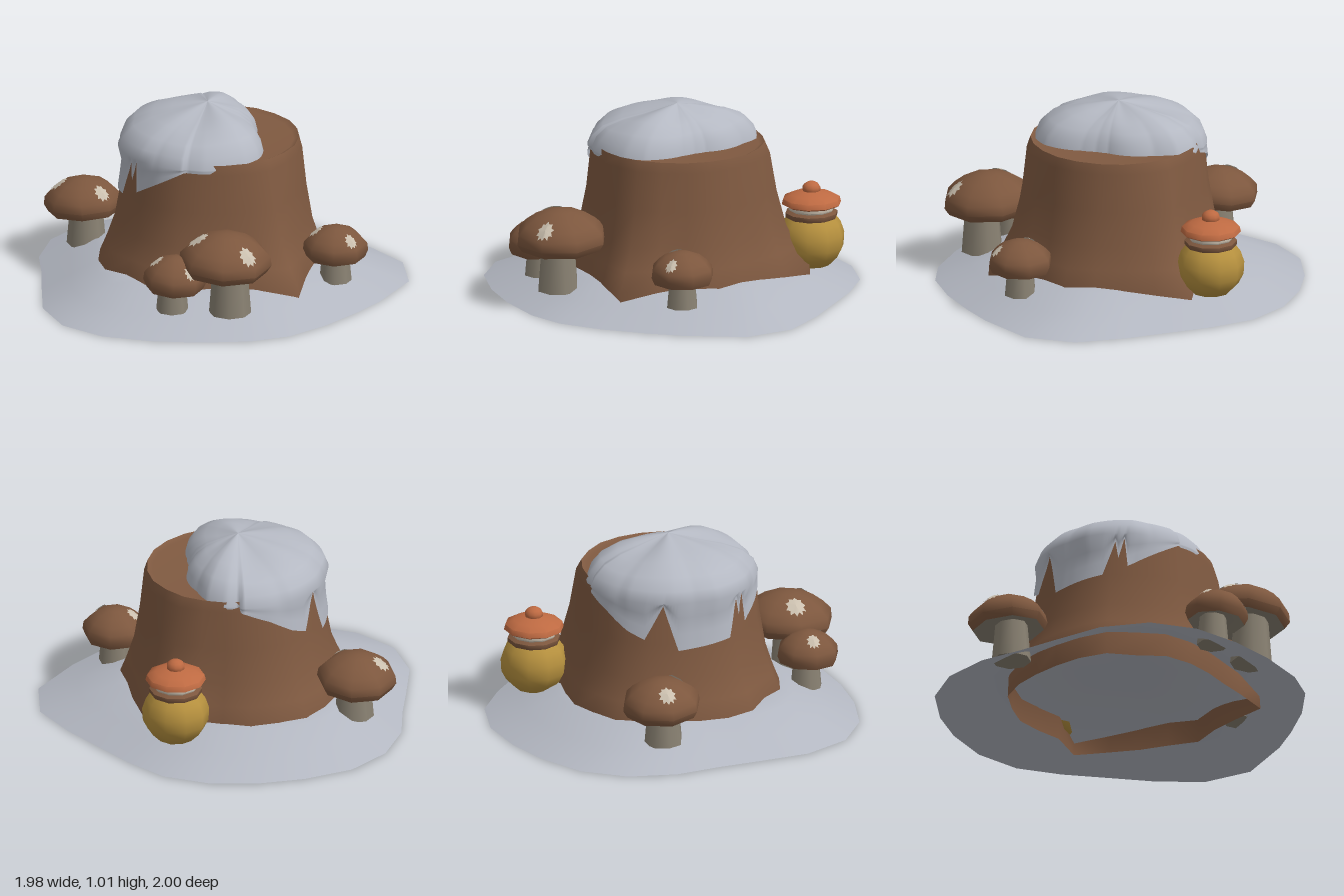
import * as THREE from 'three';
import { toCreasedNormals } from 'three/addons/utils/BufferGeometryUtils.js';

const mat = (name, color, side = THREE.FrontSide) => {
  const m = new THREE.MeshStandardMaterial({ color, side });
  m.name = name;
  return m;
};
const DS = THREE.DoubleSide;
const TAU = Math.PI * 2;

// Piecewise linear lookup in a list of [key, value] pairs with ascending keys.
function lookup(pairs, k) {
  if (k <= pairs[0][0]) return pairs[0][1];
  for (let i = 1; i < pairs.length; i++) {
    const [k0, v0] = pairs[i - 1], [k1, v1] = pairs[i];
    if (k <= k1) return v0 + (v1 - v0) * (k - k0) / (k1 - k0);
  }
  return pairs[pairs.length - 1][1];
}

// Radius tables hold one value for every 15 degrees, from +x towards +z.
function around(table, deg) {
  const f = (((deg % 360) + 360) % 360) / 15, i = Math.floor(f);
  return THREE.MathUtils.lerp(table[i % 24], table[(i + 1) % 24], f - i);
}

// Skin a stack of closed rings, ordered from the bottom up and inwards.
function loft(rings) {
  const n = rings[0].length, index = [];
  for (let r = 0; r < rings.length - 1; r++) {
    for (let i = 0; i < n; i++) {
      const a = r * n + i, b = r * n + (i + 1) % n;
      index.push(a, a + n, b, b, a + n, b + n);
    }
  }
  const g = new THREE.BufferGeometry();
  g.setAttribute('position', new THREE.Float32BufferAttribute(rings.flat(2), 3));
  g.setIndex(index);
  g.computeVertexNormals();
  return g;
}

const CX = 0.03, CZ = -0.06; // stump axis
const BASE = [.73, .63, .58, .58, .6, .62, .59, .62, .6, .58, .58, .6,
  .62, .6, .6, .58, .58, .72, .64, .61, .6, .64, .6, .63];
const RIM = [.48, .475, .465, .455, .45, .44, .43, .43, .425, .42, .42, .425,
  .43, .44, .44, .45, .46, .475, .48, .49, .49, .49, .49, .485];
const CAP = [.42, .45, .46, .47, .46, .47, .49, .49, .49, .47, .48, .48,
  .48, .46, .44, .46, .43, .36, .33, .3, .27, .27, .3, .36];
const FLARE = [[.02, 1.03], [.14, 1], [.24, .74], [.36, .48], [.55, .27], [.76, .12], [.815, 0]];
const DRAPE = [[42, .77], [58, .77], [94, .6], [96, .77], [100, .65], [102, .75], [110, .55],
  [146, .52], [156, .77], [168, .58], [180, .62], [196, .7], [214, .76], [224, .77]];

const stumpRadius = (deg, y) =>
  THREE.MathUtils.lerp(around(RIM, deg), around(BASE, deg), lookup(FLARE, y));

// Ring about the stump axis; fn(deg) gives [radius, height].
function ring(n, fn) {
  return Array.from({ length: n }, (_, i) => {
    const a = i / n * TAU, [r, y] = fn(i / n * 360);
    return [CX + Math.cos(a) * r, y, CZ + Math.sin(a) * r];
  });
}

// Mushroom cap profile as [height, radius share] from the rim up.
const CAP_SIDES = 8;
const CAP_SHAPE = [[0, 1], [.3, .97], [.55, .8], [.8, .56], [.95, .25], [1, 0]];
const capHeight = (x, z) => {
  let rho = 0;
  for (let k = 0; k < CAP_SIDES; k++) {
    const a = (k + .5) / CAP_SIDES * TAU;
    rho = Math.max(rho, (x * Math.sin(a) + z * Math.cos(a)) / Math.cos(Math.PI / CAP_SIDES));
  }
  return lookup(CAP_SHAPE.map(([h, r]) => [r, h]).reverse(), rho);
};

export function createModel() {
  const model = new THREE.Group();
  const snow = mat('snow', 0xb4b8c2, DS);
  const bark = mat('bark', 0x805a41, DS);
  const capBrown = mat('mushroom cap brown', 0x7d573e);
  const stemGrey = mat('stem grey', 0x8a8273);
  const pale = mat('pale spots', 0xcabfae, DS);
  const ochre = mat('pot ochre', 0xb8923f);
  const terracotta = mat('lid terracotta', 0xbe6a42);

  const add = (parent, name, geometry, material) => {
    const m = new THREE.Mesh(geometry, material);
    m.name = name;
    parent.add(m);
    return m;
  };
  const lathe = (pts, sides) => toCreasedNormals(
    new THREE.LatheGeometry(pts.map(p => new THREE.Vector2(...p)), sides), 0.95);

  // Snow mound on the ground
  const edge = [[.29, -1], [.57, -.98], [.8, -.82], [.92, -.5], [.96, -.3], [.99, -.05],
    [.98, .2], [.9, .4], [.73, .62], [.54, .8], [.31, .95], [.05, 1], [-.21, .91],
    [-.42, .73], [-.6, .57], [-.79, .42], [-.94, .2], [-.99, -.06], [-.93, -.33],
    [-.83, -.55], [-.67, -.77], [-.45, -.92], [-.2, -.97], [.05, -.985]];
  const mound = [[1, 0], [.81, .077], [.64, .142], [.52, .162], [.25, .168], [0, .17]];
  add(model, 'snowMound', loft(mound.map(([t, y]) => edge.map(([x, z]) => [x * t, y, z * t]))), snow);

  // Hollow-bottomed stump with flared roots, and its cut top
  const heights = [.02, .14, .24, .36, .55, .76, .815];
  add(model, 'stump', loft(heights.map(y => ring(24, d => [stumpRadius(d, y), y]))), bark);
  add(model, 'stumpTop', loft([[1, .815], [.94, .8], [0, .8]]
    .map(([t, y]) => ring(24, d => [around(RIM, d) * t, y]))), bark);

  // Snow heaped on the stump, with a ragged drape down the front
  const N = 180;
  const capEdge = d => {
    const r = around(CAP, d);
    return d > 58 && d < 215 ? Math.max(r, stumpRadius(d, .74) + .012) : r;
  };
  const capRings = [0, .33, .66].map(t => ring(N, d => {
    const y = THREE.MathUtils.lerp(lookup(DRAPE, d), .79, t);
    const draped = d > 58 && d < 215;
    return [draped ? Math.max(around(CAP, d) - .02, stumpRadius(d, y) + .012) : capEdge(d), y];
  }));
  for (const [t, y] of [[1, .79], [.95, .85], [.83, .905], [.62, .948], [.4, .972], [.18, .995], [0, 1.01]]) {
    const lump = .008 * Math.sin(t * Math.PI);
    capRings.push(ring(N, d => {
      const a = d / 360 * TAU;
      return [capEdge(d) * t, y + lump * (Math.sin(3 * a + 1) + Math.sin(5 * a))];
    }));
  }
  add(model, 'snowCap', loft(capRings), snow);

  // Mushrooms: cap, gills, stem and two ragged spots
  const spot = (u, v, size, r, h) => {
    const pt = (x, z) => [x * r, capHeight(x, z) * h + .007, z * r];
    const rim = t => Array.from({ length: 20 }, (_, i) => {
      const a = i / 20 * TAU, k = size * t * (i % 2 ? .78 : 1.08);
      return pt(u + Math.cos(a) * k, v + Math.sin(a) * k);
    });
    return loft([rim(1), rim(.5), rim(0)]);
  };
  function mushroom(name, x, z, r, rimY, topY, stemX, stemR, tilt) {
    const g = new THREE.Group();
    g.name = name;
    const head = new THREE.Group();
    head.name = 'head';
    head.position.set(x, rimY, z);
    head.rotation.z = tilt;
    const h = topY - rimY;
    add(head, 'cap', lathe([[r * .9, -.04], ...CAP_SHAPE.map(([y, s]) => [s * r, y * h])], CAP_SIDES), capBrown);
    add(head, 'gills', lathe([[0, -.005], [r * .5, -.015], [r * .9, -.04]], CAP_SIDES), stemGrey);
    add(head, 'frontSpot', spot(-.43, .41, .21, r, h), pale);
    add(head, 'sideSpot', spot(.74, .03, .18, r, h), pale);
    const len = rimY - .09;
    const stem = add(g, 'stem', new THREE.CylinderGeometry(stemR * .88, stemR * 1.08, len, 8), stemGrey);
    stem.position.set(stemX, .09 + len / 2, z);
    g.add(head);
    model.add(g);
  }
  mushroom('rightMushroom', -.63, .24, .215, .31, .46, -.61, .098, .07);
  mushroom('largeMushroom', .63, .35, .25, .36, .53, .67, .105, -.06);
  mushroom('smallMushroom', .46, .56, .17, .265, .405, .44, .08, -.06);
  mushroom('backMushroom', .69, -.39, .175, .265, .4, .69, .08, 0);

  // Lidded pot behind the stump
  const pot = new THREE.Group();
  pot.name = 'pot';
  pot.position.set(-.28, 0, -.71);
  add(pot, 'potBody', lathe([[0, .11], [.1, .11], [.15, .16], [.176, .21], [.18, .28], [.16, .34], [.13, .38]], 10), ochre);
  add(pot, 'potBand', lathe([[.13, .365], [.142, .38], [.142, .4], [.11, .415]], 10), capBrown);
  add(pot, 'potNeck', lathe([[.11, .4], [.125, .42], [.12, .45]], 10), pale);
  add(pot, 'potLid', lathe([[0, .44], [.145, .44], [.162, .45], [.155, .478], [.11, .5], [.05, .518], [0, .52]], 10), terracotta);
  const knob = add(pot, 'lidKnob', new THREE.SphereGeometry(.05, 10, 7), terracotta);
  knob.scale.y = .8;
  knob.position.y = .53;
  model.add(pot);

  return model;
}
